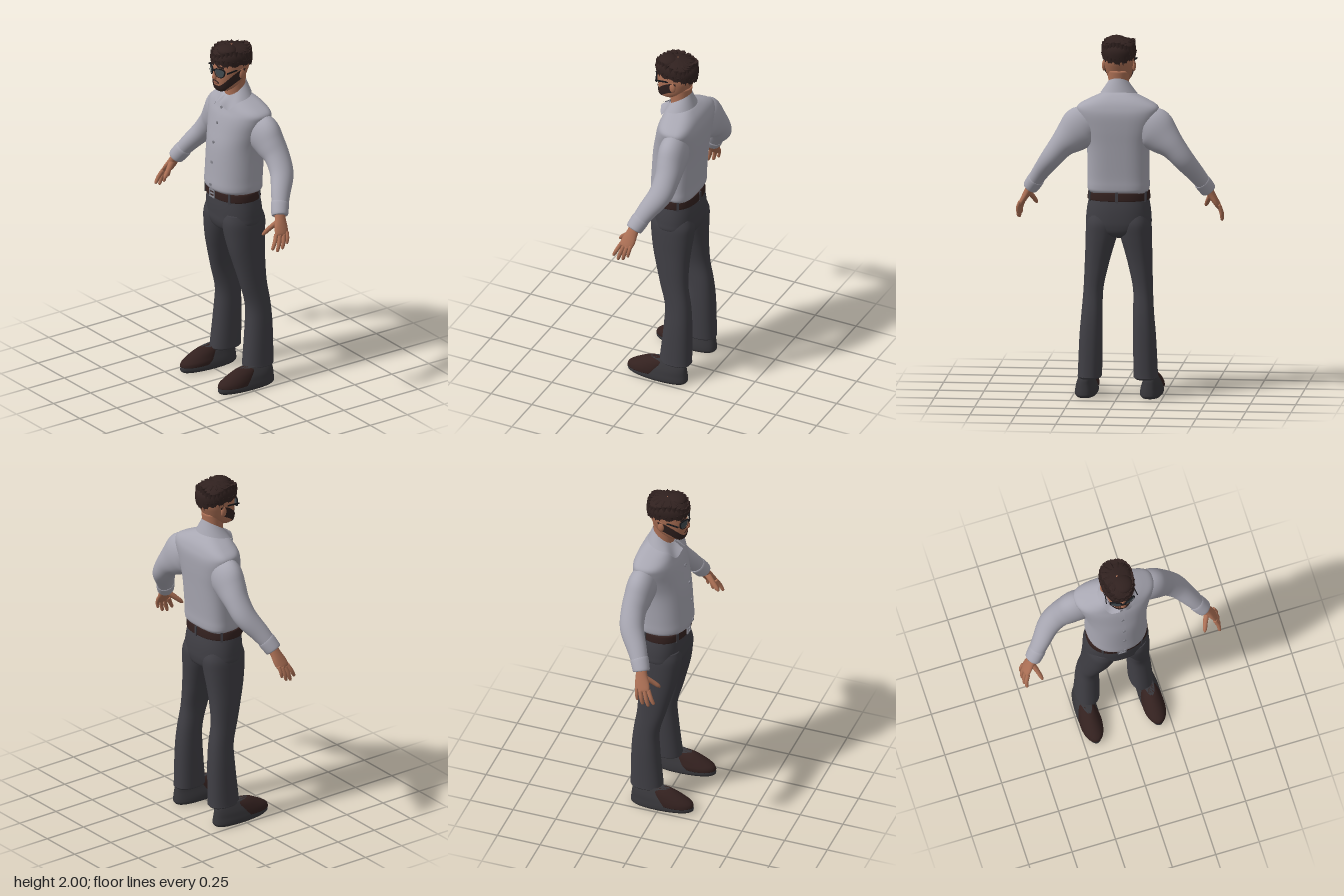
import * as THREE from 'three';
import { mergeGeometries, mergeVertices } from 'three/addons/utils/BufferGeometryUtils.js';

const PI = Math.PI;
const mat = (name, color, side = THREE.FrontSide) => {
  const m = new THREE.MeshStandardMaterial({ color, side });
  m.name = name;
  return m;
};

// Surface from a rule fn(u, v) -> [x, y, z]; u may wrap round
function grid(nu, nv, closed, fn) {
  const pos = [], idx = [], cols = closed ? nu : nu + 1;
  for (let j = 0; j <= nv; j++) for (let i = 0; i < cols; i++) pos.push(...fn(i / nu, j / nv, j));
  for (let j = 0; j < nv; j++) for (let i = 0; i < nu; i++) {
    const a = j * cols + i, c = j * cols + (i + 1) % cols, b = a + cols, d = c + cols;
    idx.push(a, b, c, c, b, d);
  }
  const g = new THREE.BufferGeometry();
  g.setAttribute('position', new THREE.Float32BufferAttribute(pos, 3));
  g.setIndex(idx);
  g.computeVertexNormals();
  return g;
}

// Catmull-Rom refinement of every column of a small table
function smooth(rows, k = 5) {
  const out = [], n = rows.length - 1;
  for (let i = 0; i < n; i++) for (let s = 0; s < k; s++) {
    const t = s / k, p = [rows[Math.max(i - 1, 0)], rows[i], rows[i + 1], rows[Math.min(i + 2, n)]];
    out.push(rows[i].map((_, c) => {
      const [a, b, d, e] = p.map(r => r[c]);
      return b + 0.5 * t * (d - a + t * (2 * a - 5 * b + 4 * d - e + t * (3 * (b - d) + e - a)));
    }));
  }
  out.push(rows[n]);
  return out;
}

// Horizontal section [y, xMin, xMax, zBack, zFront]; angle 90 degrees is the front
const ROUND = { front: 1, back: 1, mid: 0.45 };
function point(r, a, o = ROUND, grow = 0) {
  const c = Math.cos(a), s = Math.sin(a), e = s > 0 ? o.front : o.back;
  const zc = r[3] + (r[4] - r[3]) * o.mid, pw = v => Math.sign(v) * Math.abs(v) ** e;
  return [(r[1] + r[2]) / 2 + ((r[2] - r[1]) / 2 + grow) * pw(c), r[0],
    zc + ((s > 0 ? r[4] - zc : zc - r[3]) + grow) * pw(s)];
}
function loft(table, o = ROUND) {
  const rows = smooth(table), n = rows.length;
  return grid(40, n + 1, true, (u, v, j) => {
    const r = rows[Math.min(Math.max(j - 1, 0), n - 1)];
    if (j > 0 && j <= n) return point(r, u * 2 * PI, o);
    return [(r[1] + r[2]) / 2, r[0], (r[3] + r[4]) / 2];
  });
}
const sym = rows => rows.map(([y, w, b, f]) => [y, -w, w, b, f]);
function at(rows, y) {
  let i = 0;
  while (i < rows.length - 2 && rows[i + 1][0] < y) i++;
  const t = THREE.MathUtils.clamp((y - rows[i][0]) / (rows[i + 1][0] - rows[i][0]), 0, 1);
  return rows[i].map((v, c) => v + (rows[i + 1][c] - v) * t);
}
// Thin layer over a loft, between heights lo and hi at each angle
function patch(table, o, a0, a1, lo, hi, grow, nu = 40, nv = 10) {
  const rows = smooth(table);
  return grid(nu, nv, false, (u, v) => {
    const a = a0 + (a1 - a0) * u, y = lo(a) + (hi(a) - lo(a)) * v;
    return point(at(rows, y), a, o, grow);
  });
}

// Limb along a path of [x, y, z, radius across, radius in depth]
function limb(table, seg = 24) {
  const rows = smooth(table), n = rows.length, Z = new THREE.Vector3(0, 0, 1);
  const P = rows.map(r => new THREE.Vector3(r[0], r[1], r[2]));
  return grid(seg, n + 1, true, (u, v, j) => {
    const i = Math.min(Math.max(j - 1, 0), n - 1);
    if (j === 0 || j === n + 1) return P[i].toArray();
    const t = P[Math.min(i + 1, n - 1)].clone().sub(P[Math.max(i - 1, 0)]).normalize();
    const nn = Z.clone().cross(t).normalize(), b = t.clone().cross(nn), a = -u * 2 * PI;
    return P[i].clone().addScaledVector(nn, rows[i][3] * Math.cos(a)).addScaledVector(b, rows[i][4] * Math.sin(a)).toArray();
  });
}
function mirrored(geo) {
  const g = geo.index ? geo.clone() : mergeVertices(geo);
  g.scale(-1, 1, 1);
  const k = g.index.array;
  for (let i = 0; i < k.length; i += 3) [k[i], k[i + 1]] = [k[i + 1], k[i]];
  return g;
}
const ball = (x, y, z, a, b, c) => new THREE.SphereGeometry(1, 20, 14).scale(a, b, c).translate(x, y, z);

export function createModel() {
  const root = new THREE.Group();
  root.name = 'standingMan';
  const skin = mat('skin', 0xac7055), shirt = mat('shirt grey', 0xa8a7b2, THREE.DoubleSide);
  const trousers = mat('trouser charcoal', 0x403f45), hair = mat('hair brown', 0x30211f, THREE.DoubleSide);
  const leather = mat('leather brown', 0x33211f), sole = mat('shoe grey', 0x38373b);
  const frame = mat('frame black', 0x17171a), lens = mat('lens grey', 0x414b50);
  const metal = mat('button grey', 0x85858e), lip = mat('lip', 0x84503f);
  const add = (name, geo, m) => {
    const mesh = new THREE.Mesh(geo, m);
    mesh.name = name;
    root.add(mesh);
  };
  const both = (name, geo, m) => { add(name + 'Left', geo, m); add(name + 'Right', mirrored(geo), m); };

  // Shirt body, placket and buttons
  const torso = sym([[1.14, .155, -.148, .09], [1.155, .168, -.158, .11], [1.18, .171, -.161, .115], [1.24, .17, -.163, .111],
    [1.4, .173, -.176, .1], [1.5, .195, -.185, .08], [1.58, .22, -.188, .06], [1.625, .222, -.178, .042],
    [1.66, .165, -.16, .03], [1.69, .095, -.13, .018], [1.7, .072, -.11, .01]]);
  const chest = { front: .9, back: .68, mid: .4 };
  add('shirtBody', loft(torso, chest), shirt);
  add('placket', patch(torso, chest, PI / 2 - .06, PI / 2 + .06, () => 1.15, () => 1.675, .004, 6, 30), shirt);
  const torsoRows = smooth(torso);
  for (const y of [1.63, 1.545, 1.434, 1.317, 1.185]) {
    const z = at(torsoRows, y)[4] + .006;
    add('button', new THREE.CylinderGeometry(.008, .008, .006, 14).rotateX(PI / 2).translate(.002, y, z), metal);
  }
  // Folded collar: low points at the front, high at the back
  add('collar', grid(64, 6, false, (u, v) => {
    const a = -PI + .1 + u * (2 * PI - .2), f = PI - Math.abs(a), side = Math.sign(a) || 1;
    const top = 1.74 - .04 * Math.cos(f), bot = 1.688 - .018 * Math.cos(f) - .042 * Math.exp(-(((f - .65) / .35) ** 2));
    const w = .103 - .04 * v, d = f < PI / 2 ? .108 - .05 * v : .095 - .027 * v;
    return [-side * w * Math.sin(f), bot + (top - bot) * v, -.04 + d * Math.cos(f)];
  }), shirt);

  // Sleeves and cuffs
  both('sleeve', limb([[.11, 1.54, -.09, .07, .06], [.19, 1.508, -.1, .118, .08], [.255, 1.452, -.108, .098, .077],
    [.31, 1.4, -.113, .071, .07], [.37, 1.325, -.1, .059, .067], [.43, 1.243, -.05, .048, .055],
    [.47, 1.182, -.017, .042, .046], [.486, 1.158, -.004, .04, .043]], 32), shirt);
  both('cuff', limb([[.455, 1.203, -.028, .043, .047], [.461, 1.194, -.023, .047, .051],
    [.488, 1.153, -.003, .045, .048], [.494, 1.144, .001, .04, .043]], 32), shirt);

  // Hands
  both('palm', limb([[.482, 1.165, -.005, .026, .03], [.505, 1.125, .005, .022, .033], [.528, 1.085, .016, .018, .041],
    [.545, 1.055, .027, .014, .038], [.548, 1.047, .03, .006, .026]]), skin);
  const fingers = [[.538, 1.06, .057, .555, .982, .096], [.545, 1.055, .037, .56, .966, .066],
    [.55, 1.058, .014, .563, .975, .034], [.55, 1.066, -.008, .564, 1.0, .003]];
  fingers.forEach(([x, y, z, X, Y, Z], i) => {
    const r = i === 3 ? .0095 : .0115, q = t => [x + (X - x) * t + .006 * Math.sin(PI * t), y + (Y - y) * t, z + (Z - z) * t];
    both('finger', limb([[...q(0), r, r], [...q(.5), r, r], [...q(.9), r * .8, r * .8], [...q(1), r * .35, r * .35]], 12), skin);
  });
  both('thumb', limb([[.503, 1.115, .02, .015, .018], [.484, 1.082, .058, .013, .015], [.472, 1.055, .087, .011, .012],
    [.467, 1.042, .1, .005, .005]], 12), skin);

  // Trousers
  const cloth = { front: .9, back: .85, mid: .5 };
  add('trouserSeat', loft(sym([[.89, .06, -.11, .03], [.915, .13, -.155, .07], [.955, .177, -.168, .087], [1.0, .18, -.17, .09],
    [1.06, .174, -.166, .092], [1.13, .16, -.153, .089]]), cloth), trousers);
  both('trouserLeg', loft([[.105, .1, .212, -.172, -.01], [.115, .09, .221, -.182, 0], [.14, .088, .22, -.182, 0],
    [.34, .085, .211, -.18, -.02], [.47, .085, .2, -.171, -.024], [.6, .083, .191, -.152, .01], [.72, .058, .187, -.15, .042],
    [.81, .034, .184, -.155, .065], [.9, .008, .182, -.163, .08], [.97, .0, .178, -.166, .085], [1.02, .01, .165, -.15, .075]], cloth), trousers);

  // Belt, loops and buckle
  const belt = sym([[1.1, .167, -.158, .092], [1.103, .173, -.163, .098], [1.143, .169, -.16, .097], [1.146, .16, -.152, .09]]);
  add('belt', loft(belt, cloth), leather);
  for (const a of [.9, 2.24, -.5, -2.64, -PI / 2]) {
    const p = point(belt[1], a, cloth);
    add('beltLoop', new THREE.BoxGeometry(.014, .058, .008).rotateY(PI / 2 - a).translate(p[0], 1.122, p[2]), trousers);
  }
  for (const s of [-1, 1]) {
    add('buckleRail', new THREE.BoxGeometry(.042, .006, .008).translate(-.01, 1.123 + s * .02, .101), metal);
    add('buckleEnd', new THREE.BoxGeometry(.006, .046, .008).translate(-.01 + s * .021, 1.123, .101), metal);
  }
  add('bucklePin', new THREE.BoxGeometry(.03, .005, .008).translate(-.01, 1.123, .101), metal);

  // Shoes with a darker leather vamp
  const shoe = { front: 1, back: .8, mid: .45 };
  both('shoe', loft([[0, .128, .232, -.163, .175], [.012, .118, .242, -.172, .189], [.03, .118, .242, -.172, .19],
    [.05, .122, .238, -.17, .182], [.075, .13, .232, -.167, .14], [.1, .138, .222, -.163, .09], [.125, .15, .21, -.15, .05]], shoe), sole);
  both('shoeVamp', loft([[.036, .119, .242, -.02, .19], [.055, .119, .24, -.03, .183], [.075, .126, .235, -.04, .157],
    [.1, .136, .225, -.05, .112], [.118, .148, .212, -.06, .075], [.125, .16, .2, -.06, .05]], shoe), leather);

  // Neck, head, ears and face
  add('neck', loft(sym([[1.66, .058, -.1, .01], [1.73, .056, -.102, .012], [1.82, .06, -.11, .02]])), skin);
  const head = sym([[1.735, .028, .0, .062], [1.75, .05, -.03, .076], [1.785, .067, -.085, .083], [1.84, .079, -.115, .085],
    [1.88, .083, -.127, .084], [1.93, .082, -.125, .078], [1.965, .065, -.1, .05], [1.982, .035, -.06, .015]]);
  const skull = { front: .88, back: .95, mid: .42 };
  add('head', loft(head, skull), skin);
  both('ear', ball(.084, 1.84, -.035, .01, .03, .018), skin);
  add('nose', limb([[0, 1.872, .079, .008, .008], [0, 1.845, .088, .01, .012], [0, 1.822, .093, .014, .011],
    [0, 1.812, .088, .012, .008]], 14), skin);
  add('lips', ball(0, 1.788, .083, .022, .006, .007), lip);

  // Beard and moustache
  const off = a => Math.abs(a - PI / 2), S = THREE.MathUtils.smoothstep;
  add('beard', patch(head, skull, PI / 2 - 1.75, PI / 2 + 1.75, a => 1.735 + .075 * S(off(a), .7, 1.8),
    a => 1.776 + .095 * S(off(a), .3, 1.7), .006, 48, 12), hair);
  add('beardUnderside', ball(0, 1.745, .03, .042, .012, .044), hair);
  add('moustache', patch(head, skull, PI / 2 - .38, PI / 2 + .38, a => 1.799 - .1 * off(a) ** 2,
    a => 1.808 - .1 * off(a) ** 2, .005, 16, 2), hair);
  both('eyebrow', new THREE.BoxGeometry(.042, .008, .008).rotateZ(-.08).rotateY(.4).translate(.038, 1.889, .077), hair);

  // Sunglasses
  const outline = k => {
    const pts = [[-.03, .019], [.03, .02], [.029, -.008], [.014, -.023], [-.014, -.022], [-.027, -.006]];
    const c = new THREE.CatmullRomCurve3(pts.map(p => new THREE.Vector3(p[0] * k, p[1] * k, 0)), true);
    return c.getPoints(36).map(p => new THREE.Vector2(p.x, p.y));
  };
  const rim = new THREE.Shape(outline(1.08));
  rim.holes.push(new THREE.Path(outline(.9)));
  const place = g => g.rotateY(.4).translate(.038, 1.856, .081);
  both('glassesRim', place(new THREE.ExtrudeGeometry(rim, { depth: .007, bevelEnabled: false })), frame);
  both('glassesLens', place(new THREE.ExtrudeGeometry(new THREE.Shape(outline(.92)), { depth: .004, bevelEnabled: false })), lens);
  add('glassesBridge', new THREE.BoxGeometry(.022, .006, .008).translate(0, 1.867, .1), frame);
  both('glassesTemple', new THREE.BoxGeometry(.005, .008, .11).rotateY(.16).translate(.081, 1.866, .014), frame);

  // Hair cap with a ragged edge, plus tufts
  const cap = sym([[1.84, .086, -.132, .09], [1.89, .092, -.142, .097], [1.935, .094, -.143, .097], [1.965, .083, -.122, .078],
    [1.984, .055, -.085, .04], [1.992, .006, -.03, -.018]]);
  const edge = a => 1.893 - .014 * Math.sin(a) ** 2 * (Math.sin(a) < 0 ? 1.8 : -.9) + .006 * Math.sin(a * 13);
  add('hairCap', patch(cap, skull, 0, 2 * PI, edge, () => 1.992, 0, 72, 12), hair);
  const tufts = [], capRows = smooth(cap);
  const tuft = (a, y, len, out, down, r) => {
    const p = point(at(capRows, y), a, skull, -.006);
    const dir = new THREE.Vector3(Math.cos(a) * out, down, Math.sin(a) * out).normalize();
    const q = new THREE.Quaternion().setFromUnitVectors(new THREE.Vector3(0, 1, 0), dir);
    tufts.push(new THREE.ConeGeometry(r, len, 6).applyQuaternion(q).translate(p[0], p[1], p[2]));
  };
  for (let i = 0; i < 26; i++) {
    const a = i / 26 * 2 * PI;
    tuft(a, edge(a) + .008, .04 + .01 * Math.sin(i * 5), .12, -1, .014);
    tuft(a + .1, 1.945 + .012 * Math.sin(i * 7), .045, .4, -1, .018);
    if (i % 2) tuft(a, 1.972 + .006 * Math.sin(i * 3), .045, 1, .12, .016);
  }
  add('hairTufts', mergeGeometries(tufts), hair);
  add('hairQuiff', ball(.02, 1.972, .02, .055, .028, .055), hair);
  return root;
}
